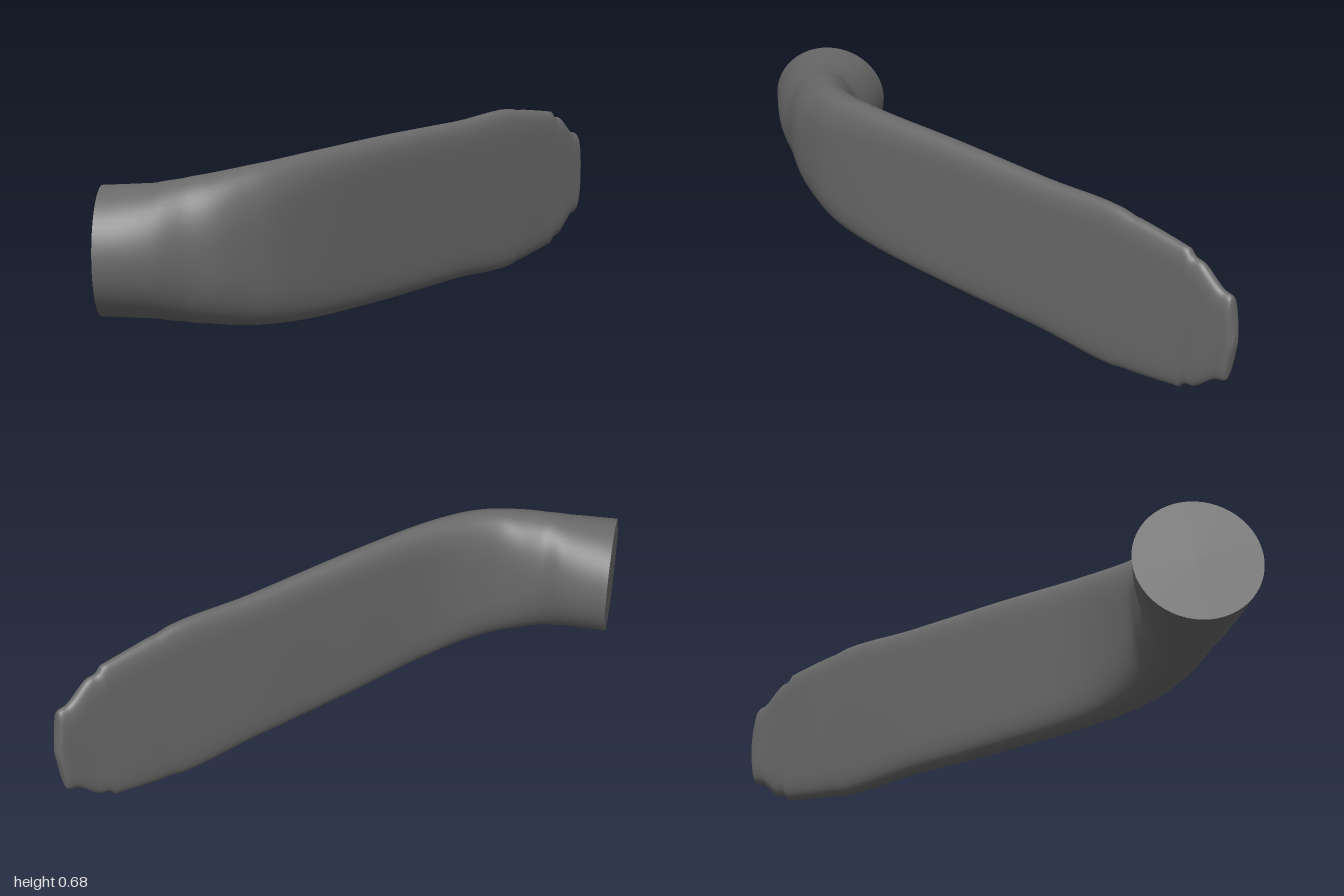
import * as THREE from 'three';

const MID_Y = 0.325;
const AROUND = 56;
const STEPS = 6;

// Cross-sections: [back x, back z, front x, front z, half height, squareness]
const STATIONS = [
  [-0.885, 0.53, -0.857, 1.0, 0.235, 2],
  [-0.7, 0.555, -0.66, 0.947, 0.244, 2],
  [-0.61, 0.58, -0.55, 0.89, 0.26, 2.1],
  [-0.53, 0.57, -0.44, 0.84, 0.275, 2.5],
  [-0.44, 0.56, -0.34, 0.765, 0.29, 3],
  [-0.33, 0.5, -0.25, 0.68, 0.302, 4],
  [-0.2, 0.39, -0.1, 0.485, 0.315, 6],
  [0.055, 0.055, 0.145, 0.125, 0.325, 8],
  [0.31, -0.295, 0.39, -0.235, 0.325, 8],
  [0.567, -0.638, 0.633, -0.587, 0.325, 8],
  [0.63, -0.723, 0.692, -0.676, 0.313, 8],
  [0.712, -0.83, 0.768, -0.79, 0.292, 8],
  [0.756, -0.885, 0.808, -0.845, 0.255, 7],
  [0.8, -0.945, 0.852, -0.91, 0.19, 6],
  [0.83, -0.985, 0.88, -0.95, 0.17, 5],
  [0.842, -0.995, 0.884, -0.962, 0.09, 4],
  [0.857, -0.996, 0.879, -0.98, 0.025, 2],
];

const curve = (pick) => new THREE.CatmullRomCurve3(STATIONS.map((s) => new THREE.Vector3(...pick(s))));
const backCurve = curve((s) => [s[0], 0, s[1]]);
const frontCurve = curve((s) => [s[2], 0, s[3]]);
const sizeCurve = curve((s) => [s[4], s[5], 0]);

// One closed ring: round where squareness is 2, a flat slab with rounded edges where it is high
function ring(t) {
  const back = backCurve.getPoint(t), front = frontCurve.getPoint(t), size = sizeCurve.getPoint(t);
  const points = [];
  for (let j = 0; j < AROUND; j++) {
    const a = (j / AROUND) * Math.PI * 2, s = Math.sin(a);
    const p = back.clone().lerp(front, 0.5 + 0.5 * Math.cos(a));
    p.y = MID_Y + size.x * Math.sign(s) * Math.pow(Math.abs(s), 2 / size.y);
    points.push(p);
  }
  return points;
}

function toGeometry(points, index) {
  const g = new THREE.BufferGeometry().setFromPoints(points);
  g.setIndex(index);
  g.computeVertexNormals();
  return g;
}

// Skin between successive rings
function loft() {
  const rows = (STATIONS.length - 1) * STEPS, points = [], index = [];
  for (let i = 0; i <= rows; i++) points.push(...ring(i / rows));
  for (let i = 0; i < rows; i++) {
    for (let j = 0; j < AROUND; j++) {
      const k = (j + 1) % AROUND, a = i * AROUND, b = a + AROUND;
      index.push(a + j, b + j, a + k, b + j, b + k, a + k);
    }
  }
  return toGeometry(points, index);
}

// Flat fan closing one end
function cap(t, flip) {
  const points = ring(t), index = [];
  const centre = points.reduce((sum, p) => sum.add(p), new THREE.Vector3()).divideScalar(AROUND);
  points.push(centre);
  for (let j = 0; j < AROUND; j++) {
    const k = (j + 1) % AROUND;
    index.push(AROUND, flip ? k : j, flip ? j : k);
  }
  return toGeometry(points, index);
}

export function createModel() {
  const group = new THREE.Group();
  group.name = 'bentPaddle';
  const grey = new THREE.MeshStandardMaterial({ color: 0x696969 });
  grey.name = 'dark grey';

  const add = (name, geometry) => {
    const mesh = new THREE.Mesh(geometry, grey);
    mesh.name = name;
    group.add(mesh);
  };
  add('body', loft());
  add('roundEndCap', cap(0, false));
  add('tipCap', cap(1, true));
  return group;
}
